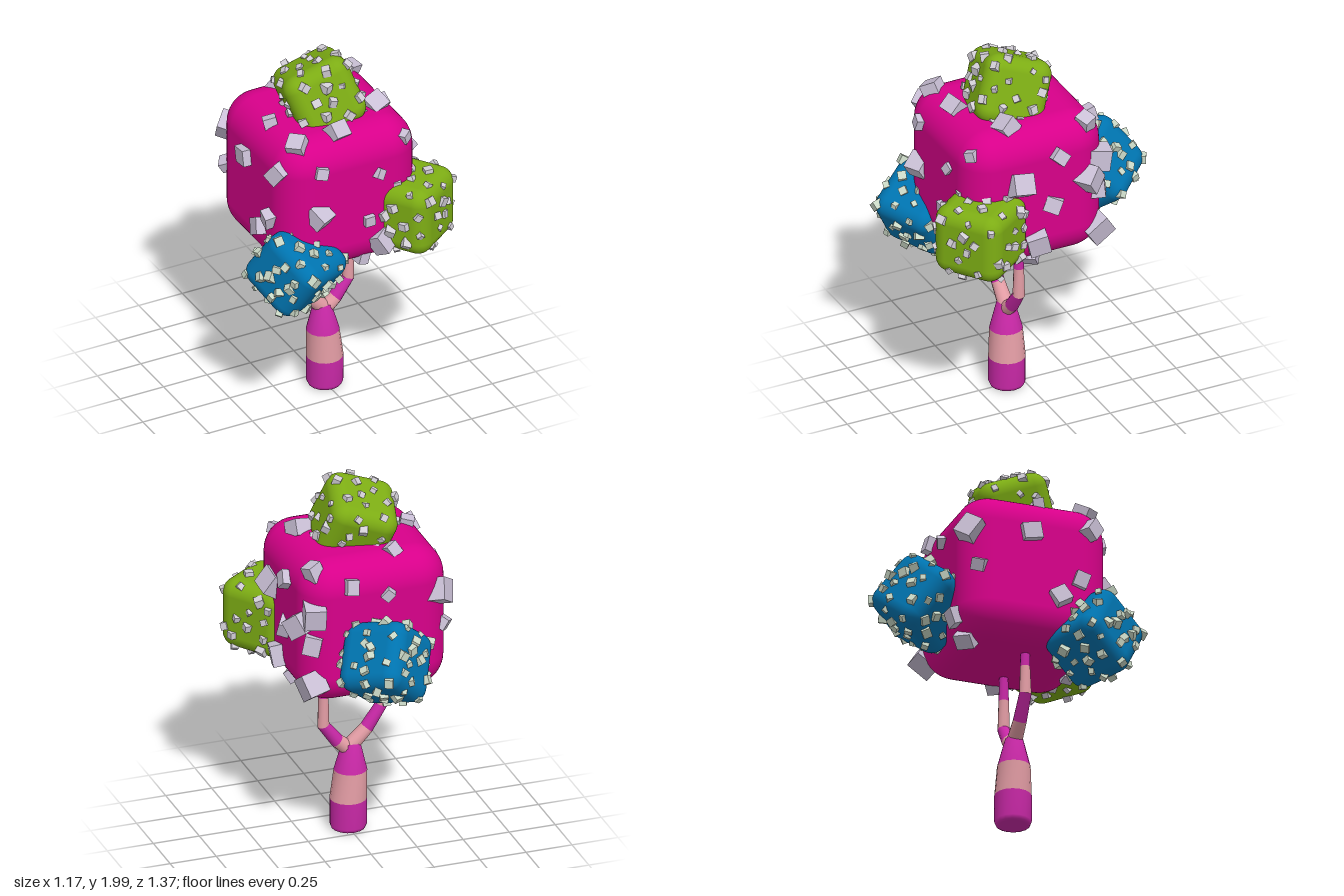
import * as THREE from 'three';
import { mergeGeometries } from 'three/addons/utils/BufferGeometryUtils.js';
import { RoundedBoxGeometry } from 'three/addons/geometries/RoundedBoxGeometry.js';

const V = (x, y, z) => new THREE.Vector3(x, y, z);

function mat(name, color) {
  const m = new THREE.MeshStandardMaterial({ color });
  m.name = name;
  return m;
}

// Seeded random numbers
function seeded(seed) {
  return () => {
    seed = (seed * 16807) % 2147483647;
    return seed / 2147483647;
  };
}

// Nearest spot on a rounded cube, with its normal
function onRoundedCube(p, half, radius) {
  const k = half - radius;
  const inner = p.clone().clamp(V(-k, -k, -k), V(k, k, k));
  const normal = p.clone().sub(inner).normalize();
  return { point: inner.addScaledVector(normal, radius), normal };
}

// Little cubes set into the surface, spun and tilted; spots are [point, size]
function chips(spots, half, radius, seed) {
  const rnd = seeded(seed);
  const up = V(0, 1, 0);
  return mergeGeometries(spots.map(([p, size]) => {
    const { point, normal } = onRoundedCube(p, half, radius);
    const tilt = new THREE.Euler((rnd() - 0.5) * 1.2, rnd() * Math.PI, (rnd() - 0.5) * 1.2);
    const q = new THREE.Quaternion().setFromUnitVectors(up, normal)
      .multiply(new THREE.Quaternion().setFromEuler(tilt));
    const s = V(size, size * (0.8 + rnd() * 0.3), size * (0.8 + rnd() * 0.3));
    return new THREE.BoxGeometry(1, 1, 1)
      .applyMatrix4(new THREE.Matrix4().compose(point, q, s));
  }));
}

// Band between rings [x, y, radius, tilt], in the plane of the trunk
function band(rings, sides = 16) {
  const pos = [], index = [];
  rings.forEach(([x, y, r, tilt = 0], i) => {
    for (let j = 0; j < sides; j++) {
      const t = (j / sides) * Math.PI * 2;
      const w = r * Math.cos(t);
      pos.push(x + w * Math.cos(tilt), y + w * Math.sin(tilt), 0.09 + r * Math.sin(t));
      if (i === rings.length - 1) continue;
      const a = i * sides + j, b = i * sides + ((j + 1) % sides);
      index.push(a, a + sides, b, b, a + sides, b + sides);
    }
  });
  const g = new THREE.BufferGeometry();
  g.setAttribute('position', new THREE.Float32BufferAttribute(pos, 3));
  g.setIndex(index);
  g.computeVertexNormals();
  return g;
}

export function createModel() {
  const model = new THREE.Group();
  model.name = 'fantasyTree';

  const magenta = mat('magentaFoliage', 0xd8008a);
  const green = mat('greenFoliage', 0x7dad14);
  const blue = mat('blueFoliage', 0x0074b0);
  const lavender = mat('lavenderChips', 0xcac0d6);
  const paleGrey = mat('paleGreyChips', 0xd2ced6);
  const paleGreen = mat('paleGreenChips', 0xcad8c6);
  const purple = mat('purpleBark', 0xc828a6);
  const pink = mat('pinkBark', 0xe29ca4);

  const add = (parent, name, geometry, material) => {
    const mesh = new THREE.Mesh(geometry, material);
    mesh.name = name;
    parent.add(mesh);
  };

  // Trunk with a closed, softened foot
  add(model, 'trunkFoot', band([[0, 0, 0], [0, 0, 0.075], [0, 0.006, 0.088],
    [0, 0.025, 0.096], [0, 0.17, 0.096]]), purple);
  add(model, 'trunkMiddle', band([[0, 0.17, 0.096], [-0.012, 0.33, 0.086]]), pink);
  add(model, 'trunkTop', band([[-0.012, 0.33, 0.086], [-0.016, 0.48, 0.047],
    [-0.016, 0.485, 0]]), purple);

  // Forked branches, in alternating bands
  const branches = {
    leftBranch: [[-0.01, 0.44, 0.042, -0.9], [0.06, 0.5, 0.037, -0.8],
      [0.135, 0.6, 0.032, -0.3], [0.135, 0.76, 0.027], [0.135, 0.96, 0.021]],
    rightBranch: [[0, 0.45, 0.042, 0.85], [-0.1, 0.55, 0.036, 0.7],
      [-0.18, 0.67, 0.032, 0.3], [-0.175, 0.82, 0.026], [-0.175, 0.98, 0.022]],
  };
  for (const [name, rings] of Object.entries(branches)) {
    const branch = new THREE.Group();
    branch.name = name;
    for (let i = 0; i < rings.length - 1; i++) {
      add(branch, 'branchBand', band([rings[i], rings[i + 1]], 12), i % 2 ? purple : pink);
    }
    model.add(branch);
  }

  // Large central crown
  const centre = V(-0.025, 1.285, 0.08);
  const half = 0.395, round = 0.17;
  const crown = new THREE.Group();
  crown.name = 'mainCrown';
  crown.position.copy(centre);
  model.add(crown);
  add(crown, 'mainFoliage', new RoundedBoxGeometry(half * 2, half * 2, half * 2, 6, round), magenta);

  // Large chips, by face: [x, y, z, size]
  const spots = [
    // front
    [-0.22, 1.54, 0.5, 0.06], [-0.23, 1.28, 0.5, 0.1], [0.11, 1.44, 0.5, 0.055],
    [0.05, 1.18, 0.5, 0.055], [0.13, 1.03, 0.5, 0.11], [0.29, 1.6, 0.45, 0.055],
    // left
    [0.4, 1.52, -0.02, 0.08], [0.4, 1.4, 0.2, 0.11], [0.4, 1.34, -0.2, 0.11],
    [0.4, 1.24, 0.01, 0.08], [0.4, 1.04, 0.1, 0.11], [0.37, 1.0, -0.3, 0.13],
    // top
    [-0.14, 1.7, -0.19, 0.07], [-0.33, 1.68, 0.11, 0.07], [-0.3, 1.66, 0.36, 0.09],
    [-0.07, 1.7, 0.36, 0.1], [0.23, 1.7, 0.21, 0.1], [0.32, 1.66, -0.22, 0.08],
    // right
    [-0.45, 1.46, 0.03, 0.1], [-0.45, 1.53, 0.37, 0.1], [-0.45, 1.25, -0.28, 0.07],
    [-0.45, 1.23, 0.3, 0.08], [-0.45, 1.12, 0.19, 0.09],
    // back
    [-0.4, 1.45, -0.32, 0.12], [-0.07, 1.5, -0.35, 0.06], [0.13, 1.58, -0.35, 0.08],
    [0.36, 1.42, -0.32, 0.11], [-0.23, 1.0, -0.35, 0.09], [0.38, 1.25, -0.32, 0.1],
    // underside
    [-0.2, 0.88, -0.26, 0.1], [0.05, 0.88, 0.43, 0.07], [0.3, 0.9, 0.1, 0.07],
  ];
  add(crown, 'mainChips', chips(spots.map(([x, y, z, s]) => [V(x, y, z).sub(centre), s]),
    half, round, 41), lavender);

  // Small clumps: centre, half size, sideways axis, upward axis, colours, chip count and size
  const clumps = [
    ['topClump', V(-0.025, 1.742, 0.08), 0.182, V(0.93, 0.32, 0.11), V(-0.25, 0.9, -0.36),
      green, paleGrey, 60, 0.025],
    ['leftClump', V(0.32, 1.15, 0.4), 0.19, V(0.81, 0, -0.58), V(0, 1, 0),
      green, paleGrey, 60, 0.027],
    ['rightClump', V(-0.33, 0.965, 0.405), 0.18, V(0.87, -0.09, -0.47), V(0.33, 0.83, 0.45),
      blue, paleGreen, 70, 0.028],
    ['backClump', V(-0.02, 1.16, -0.41), 0.182, V(-0.69, -0.6, 0.41), V(-0.33, 0.76, 0.56),
      blue, paleGreen, 70, 0.028],
  ];
  clumps.forEach(([name, position, h, side, up, leaf, chip, count, size], n) => {
    const group = new THREE.Group();
    group.name = name;
    const a = side.clone().normalize();
    const u = up.clone().addScaledVector(a, -up.dot(a)).normalize();
    group.quaternion.setFromRotationMatrix(
      new THREE.Matrix4().makeBasis(a, u, a.clone().cross(u)));
    group.position.copy(position);
    model.add(group);

    const r = h * 0.42;
    add(group, 'clumpFoliage', new RoundedBoxGeometry(h * 2, h * 2, h * 2, 5, r), leaf);

    // Even scatter of small chips
    const rnd = seeded(101 + n * 977);
    const scatter = [];
    for (let i = 0; i < count; i++) {
      const y = 1 - (2 * (i + 0.5)) / count;
      const t = i * 2.39996 + (rnd() - 0.5) * 0.4, w = Math.sqrt(1 - y * y);
      const p = V(w * Math.cos(t), y, w * Math.sin(t));
      p.multiplyScalar(h / Math.max(Math.abs(p.x), Math.abs(p.y), Math.abs(p.z)));
      scatter.push([p, size + rnd() * 0.022]);
    }
    add(group, 'clumpChips', chips(scatter, h, r, 7 + n * 313), chip);
  });

  return model;
}
